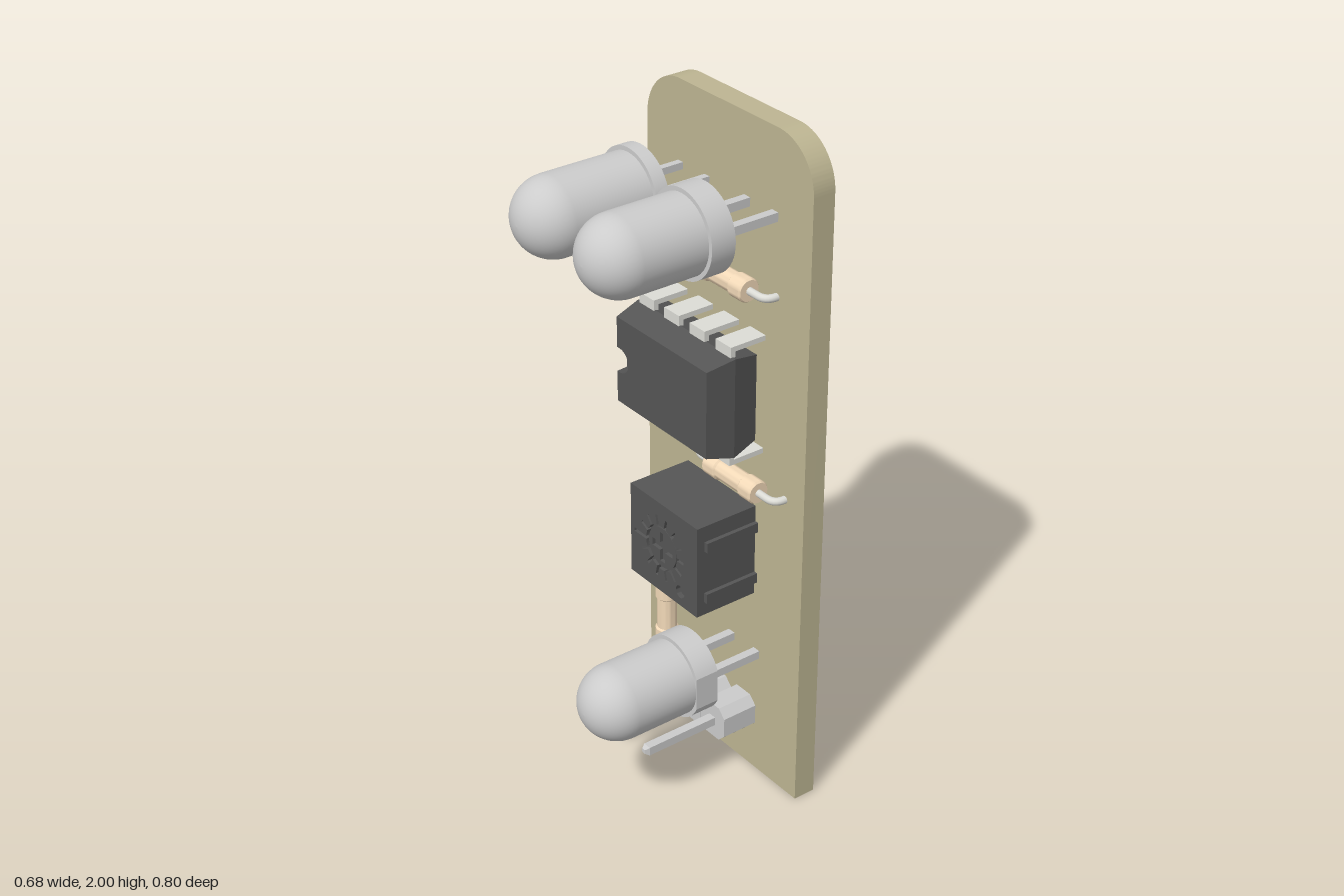
import * as THREE from 'three';
import { toCreasedNormals } from 'three/addons/utils/BufferGeometryUtils.js';

const material = (color) => new THREE.MeshStandardMaterial({ color });
const grey = material(0xcccccc);
const boardMat = material(0xbdb592);
const dark = material(0x555555);
const darkPin = material(0x484848);
const tan = material(0xf2d9b8);
const metal = material(0xdcdcd6);

function add(parent, name, geometry, mat, x = 0, y = 0, z = 0) {
  const mesh = new THREE.Mesh(geometry, mat);
  mesh.name = name;
  mesh.position.set(x, y, z);
  parent.add(mesh);
  return mesh;
}

function box(parent, name, mat, x0, x1, y0, y1, z0, z1) {
  return add(parent, name, new THREE.BoxGeometry(x1 - x0, y1 - y0, z1 - z0), mat,
    (x0 + x1) / 2, (y0 + y1) / 2, (z0 + z1) / 2);
}

function extrude(shape, depth, crease = 0.5) {
  return toCreasedNormals(
    new THREE.ExtrudeGeometry(shape, { depth, bevelEnabled: false, curveSegments: 24 }), crease);
}

const polygon = (pts) => new THREE.Shape(pts.map(([x, y]) => new THREE.Vector2(x, y)));

function group(parent, name, x, y, z = 0) {
  const g = new THREE.Group();
  g.name = name;
  g.position.set(x, y, z);
  parent.add(g);
  return g;
}

// Board with two rounded upper corners
function addBoard(root) {
  const s = new THREE.Shape();
  const w = 0.34, r = 0.14;
  s.moveTo(-w, 0).lineTo(w, 0).lineTo(w, 2 - r);
  s.absarc(w - r, 2 - r, r, 0, Math.PI / 2);
  s.absarc(-w + r, 2 - r, r, Math.PI / 2, Math.PI);
  s.closePath();
  add(root, 'board', extrude(s, 0.068), boardMat, 0, 0, -0.222);
}

// Domed lamp: lathed body, flange with one flat side, two square leads
function addLamp(root, x, y, z0, flange, flatAngle, leadWidth, leadEnd) {
  const g = group(root, 'lamp', x, y);
  const r = 0.11, tip = 0.398;
  const pts = [new THREE.Vector2(r, z0)];
  for (let i = 0; i <= 14; i++) {
    const a = (i / 14) * Math.PI / 2;
    pts.push(new THREE.Vector2(r * Math.cos(a), tip - r + r * Math.sin(a)));
  }
  const body = new THREE.LatheGeometry(pts, 40).rotateX(Math.PI / 2);
  add(g, 'lampBody', body, grey);
  const s = new THREE.Shape();
  const cut = 0.42;
  s.absarc(0, 0, 0.122, flatAngle + cut, flatAngle + Math.PI * 2 - cut);
  s.closePath();
  add(g, 'lampFlange', extrude(s, flange, 0.4), grey, 0, 0, z0);
  const h = leadWidth / 2;
  for (const lx of [-0.056, 0.056])
    box(g, 'lampLead', grey, lx - h, lx + h, -h, h, leadEnd, z0);
}

// Axial resistor lying along local x with leads bent back through the board
function addResistor(root, x, y, angle) {
  const g = group(root, 'resistor', x, y, -0.119);
  g.rotation.z = angle;
  const profile = [[0, -0.104], [0.03, -0.104], [0.034, -0.098], [0.034, -0.055], [0.029, -0.05],
    [0.029, 0.05], [0.034, 0.055], [0.034, 0.098], [0.03, 0.104], [0, 0.104]];
  const body = new THREE.LatheGeometry(profile.map(([a, b]) => new THREE.Vector2(a, b)), 28);
  add(g, 'resistorBody', toCreasedNormals(body.rotateZ(-Math.PI / 2), 0.5), tan);
  const v = (a, c) => new THREE.Vector3(a, 0, c);
  for (const s of [-1, 1]) {
    const path = new THREE.CurvePath();
    path.add(new THREE.LineCurve3(v(s * 0.1, 0), v(s * 0.138, 0)));
    path.add(new THREE.QuadraticBezierCurve3(v(s * 0.138, 0), v(s * 0.171, 0), v(s * 0.171, -0.033)));
    path.add(new THREE.LineCurve3(v(s * 0.171, -0.033), v(s * 0.171, -0.118)));
    add(g, 'resistorLead', new THREE.TubeGeometry(path, 28, 0.011, 12), metal);
    add(g, 'resistorLeadEnd', new THREE.CircleGeometry(0.011, 12).rotateY(Math.PI), metal,
      s * 0.171, 0, -0.118);
  }
}

// Eight-pin chip: body widest at mid depth, notched on its right end
function addChip(root) {
  const g = group(root, 'chip', -0.03, 1.236, -0.045);
  const w = 0.21, h = 0.147;
  const rect = polygon([[-w, -h], [w, -h], [w, h], [-w, h]]);
  const notched = new THREE.Shape();
  notched.moveTo(-w, -h).lineTo(w, -h).lineTo(w, h).lineTo(-w, h).lineTo(-w, 0.042);
  notched.absarc(-w + 0.012, 0, 0.042, Math.PI / 2, -Math.PI / 2, true);
  notched.lineTo(-w, -0.042).closePath();
  const layer = (shape, z0, z1) => {
    const geo = new THREE.ExtrudeGeometry(shape, { depth: z1 - z0, bevelEnabled: false, curveSegments: 16 });
    geo.translate(0, 0, z0);
    const p = geo.attributes.position;
    for (let i = 0; i < p.count; i++) {
      const t = Math.abs(p.getZ(i)) / 0.082;
      p.setX(i, p.getX(i) * (1 - 0.07 * t));
      p.setY(i, p.getY(i) * (1 - 0.13 * t));
    }
    add(g, 'chipBody', toCreasedNormals(geo, 0.3), dark);
  };
  layer(rect, -0.082, 0);
  layer(rect, 0, 0.045);
  layer(notched, 0.045, 0.082);
  // Pins: shoulder out of the body, then a stepped pointed blade
  const blade = polygon([[-0.032, 0.005], [-0.032, -0.108], [-0.012, -0.125], [-0.012, -0.24],
    [-0.004, -0.265], [0.004, -0.265], [0.012, -0.24], [0.012, -0.125], [0.032, -0.108], [0.032, 0.005]]);
  const bladeGeo = extrude(blade, 0.015).rotateX(Math.PI / 2).translate(0, 0.0075, 0);
  for (const s of [-1, 1]) for (let i = 0; i < 4; i++) {
    const x = -0.165 + i * 0.11;
    add(g, 'chipPin', bladeGeo, metal, x, s * 0.169, 0);
    box(g, 'chipPinShoulder', metal, x - 0.032, x + 0.032, s * 0.152 - 0.018, s * 0.152 + 0.018, -0.01, 0.005);
  }
}

// Square trimmer with a recessed toothed dial and cross slot
function addTrimmer(root) {
  const g = group(root, 'trimmer', -0.01, 0.738);
  const hw = 0.15, hh = 0.142;
  box(g, 'trimmerBody', dark, -hw, hw, -hh, hh, -0.155, 0.03);
  const face = polygon([[-hw, -hh], [hw, -hh], [hw, hh], [-hw, hh]]);
  const teeth = [], n = 14;
  for (let i = 0; i < n; i++) {
    const a = Math.PI + (i / n) * Math.PI * 2;
    const out = i === 0 ? 0.125 : 0.1;
    for (const [r, off] of [[0.07, -0.07], [out, -0.045], [out, 0.045], [0.07, 0.07]])
      teeth.push(new THREE.Vector2(-0.01 + r * Math.cos(a + off), r * Math.sin(a + off)));
  }
  face.holes.push(new THREE.Path(teeth));
  const dot = new THREE.Path();
  dot.absarc(0.075, -0.098, 0.019, 0, Math.PI * 2);
  face.holes.push(dot);
  add(g, 'trimmerFace', extrude(face, 0.015), dark, 0, 0, 0.03);
  const dial = new THREE.Shape();
  dial.absarc(0, 0, 0.062, 0, Math.PI * 2);
  const a = 0.012, b = 0.046;
  dial.holes.push(new THREE.Path([[a, a], [b, a], [b, -a], [a, -a], [a, -b], [-a, -b],
    [-a, -a], [-b, -a], [-b, a], [-a, a], [-a, b], [a, b]].map(([x, y]) => new THREE.Vector2(x, y))));
  add(g, 'trimmerDial', extrude(dial, 0.011), dark, -0.01, 0, 0.03);
  // Side ribs and long pins
  for (const y of [0.078, -0.086])
    box(g, 'trimmerRib', dark, hw, hw + 0.012, y - 0.015, y + 0.015, -0.155, 0.02);
  for (const [x, y] of [[0.005, 0.113], [-0.108, 0], [0.005, -0.113]])
    add(g, 'trimmerPin', new THREE.CylinderGeometry(0.01, 0.01, 0.26, 12).rotateX(Math.PI / 2),
      darkPin, x, y, -0.27);
}

// Three-way header: octagonal cells with square pins tapered at both ends
function addHeader(root) {
  const g = group(root, 'header', -0.01, 0.188);
  const a = 0.055, b = 0.03;
  const cell = polygon([[-a, -b], [-b, -a], [b, -a], [a, -b], [a, b], [b, a], [-b, a], [-a, b]]);
  const cellGeo = extrude(cell, 0.113);
  const tipGeo = new THREE.CylinderGeometry(0.009, 0.0184, 0.012, 4).toNonIndexed();
  tipGeo.rotateY(Math.PI / 4).computeVertexNormals();
  for (let i = -1; i <= 1; i++) {
    const x = i * 0.111;
    add(g, 'headerCell', cellGeo, grey, x, 0, -0.155);
    box(g, 'headerPin', grey, x - 0.013, x + 0.013, -0.013, 0.013, -0.284, 0.188);
    add(g, 'headerPinTip', tipGeo, grey, x, 0, 0.194).rotation.x = Math.PI / 2;
    add(g, 'headerPinTip', tipGeo, grey, x, 0, -0.29).rotation.x = -Math.PI / 2;
  }
}

export function createModel() {
  const root = new THREE.Group();
  root.name = 'circuitBoard';
  addBoard(root);
  addLamp(root, -0.14, 1.762, 0.015, 0.04, Math.PI, 0.02, -0.25);
  addLamp(root, 0.138, 1.762, 0.023, 0.073, Math.PI, 0.025, -0.28);
  addLamp(root, 0.1, 0.402, 0.027, 0.073, 0, 0.025, -0.28);
  addResistor(root, 0.037, 1.54, 0);
  addResistor(root, 0.09, 0.96, 0);
  addResistor(root, -0.214, 0.357, Math.PI / 2);
  addChip(root);
  addTrimmer(root);
  addHeader(root);
  return root;
}
